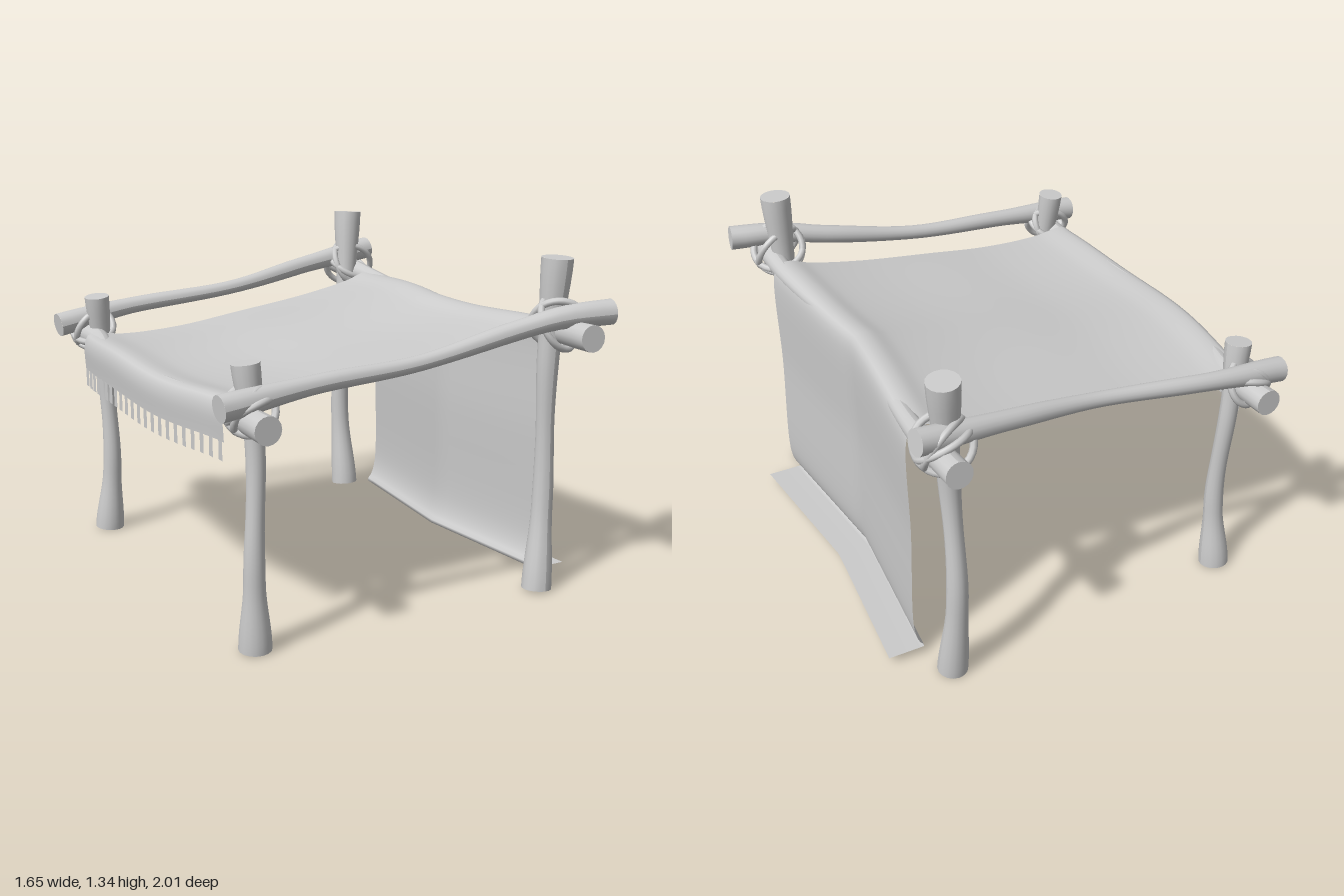
import * as THREE from 'three';
import { mergeGeometries } from 'three/addons/utils/BufferGeometryUtils.js';

const mat = new THREE.MeshStandardMaterial({ color: 0xcccccc });
const clothMat = new THREE.MeshStandardMaterial({ color: 0xcccccc, side: THREE.DoubleSide });
const v = (p) => new THREE.Vector3(...p);

// Tapering branch along a curve: radii are spread evenly along its length, flat cut ends
function branch(name, points, radii, sides = 16, steps = 28) {
  const curve = new THREE.CatmullRomCurve3(points.map(v));
  const radiusAt = (u) => {
    const f = u * (radii.length - 1), i = Math.min(Math.floor(f), radii.length - 2);
    return THREE.MathUtils.lerp(radii[i], radii[i + 1], THREE.MathUtils.smoothstep(f - i, 0, 1));
  };
  const tube = new THREE.TubeGeometry(curve, steps, 1, sides);
  const pos = tube.attributes.position, p = new THREE.Vector3();
  for (let k = 0; k < pos.count; k++) {
    const u = Math.floor(k / (sides + 1)) / steps;
    const c = curve.getPointAt(u);
    p.fromBufferAttribute(pos, k).sub(c).multiplyScalar(radiusAt(u)).add(c);
    pos.setXYZ(k, p.x, p.y, p.z);
  }
  tube.computeVertexNormals();
  const caps = [0, 1].map((u) => {
    const dir = curve.getTangentAt(u).multiplyScalar(u ? 1 : -1);
    const q = new THREE.Quaternion().setFromUnitVectors(new THREE.Vector3(0, 0, 1), dir);
    const c = curve.getPointAt(u);
    return new THREE.CircleGeometry(radiusAt(u), sides).applyQuaternion(q).translate(c.x, c.y, c.z);
  });
  const mesh = new THREE.Mesh(mergeGeometries([tube, ...caps]), mat);
  mesh.name = name;
  return mesh;
}

// Sideways bow of the cloth where it follows the two bent poles
const bowLeft = (z) => 0.065 * Math.cos(THREE.MathUtils.clamp((z + 0.08) / 0.75, -1, 1) * Math.PI / 2);
const bowRight = (z) => 0.065 * Math.max(0, 1 - Math.abs(z) / 0.68);

// Cloth cross-section: hem, over the low pole, across, over the high pole, down to the floor flap
const profile = new THREE.CatmullRomCurve3([
  [-0.72, 0.755], [-0.722, 0.86], [-0.705, 0.9], [-0.67, 0.907], [-0.55, 0.892], [-0.3, 0.9],
  [0, 0.94], [0.33, 0.988], [0.55, 1.035], [0.64, 1.066], [0.69, 1.06], [0.71, 1.02],
  [0.708, 0.6], [0.71, 0.13], [0.69, 0.06], [0.668, 0.032], [0.7, 0.03], [0.82, 0.03],
].map(([x, y]) => new THREE.Vector3(x, y, 0)), false, 'centripetal');

function clothPoint(u, w) {
  const p = profile.getPointAt(u);
  const right = THREE.MathUtils.clamp((p.x + 0.7) / 1.38, 0, 1);
  const z = THREE.MathUtils.lerp(-0.665, 0.7 - 0.03 * right, w);
  const shift = THREE.MathUtils.lerp(bowLeft(z), bowRight(z), right);
  const wave = 0.008 * Math.sin(z * 7) * THREE.MathUtils.smoothstep(p.y, 0.3, 0.9);
  return p.set(p.x - shift, p.y - wave, z);
}

function cloth() {
  const nu = 150, nw = 24;
  const geo = new THREE.PlaneGeometry(1, 1, nu, nw);
  const pos = geo.attributes.position;
  for (let k = 0; k < pos.count; k++) {
    const p = clothPoint((k % (nu + 1)) / nu, Math.floor(k / (nu + 1)) / nw);
    pos.setXYZ(k, p.x, p.y, p.z);
  }
  geo.computeVertexNormals();
  const mesh = new THREE.Mesh(geo, clothMat);
  mesh.name = 'clothCanopy';
  return mesh;
}

// Row of flat strips along the hem
function fringe() {
  const group = new THREE.Group();
  group.name = 'fringe';
  const count = 22;
  for (let i = 0; i < count; i++) {
    const p = clothPoint(0, (i + 0.5) / count);
    const strip = new THREE.Mesh(new THREE.PlaneGeometry(0.032, 0.075), clothMat);
    strip.name = 'fringeStrip';
    strip.rotation.y = -Math.PI / 2;
    strip.position.set(p.x, p.y - 0.0345, p.z);
    group.add(strip);
  }
  return group;
}

// Two crossed rope loops round a joint
function lashing(x, y, z, size) {
  const group = new THREE.Group();
  group.name = 'ropeLashing';
  const sx = Math.sign(x), sz = Math.sign(z);
  for (const n of [[0.35 * sx, 0.45, 0.82 * sz], [-0.5 * sx, -0.45, 0.75 * sz], [0.3 * sx, 0.85, -0.45 * sz]]) {
    const loop = new THREE.Mesh(new THREE.TorusGeometry(size, 0.014, 8, 32), mat);
    loop.name = 'ropeLoop';
    loop.quaternion.setFromUnitVectors(new THREE.Vector3(0, 0, 1), v(n).normalize());
    group.add(loop);
  }
  group.position.set(x, y, z);
  return group;
}

export function createModel() {
  const model = new THREE.Group();
  model.name = 'canopyShelter';

  // Posts, tall on the left and short on the right
  const tall = [0.06, 0.042, 0.036, 0.044, 0.062], short = [0.062, 0.04, 0.034, 0.036, 0.052];
  model.add(
    branch('frontLeftPost', [[0.6, 0, 0.785], [0.63, 0.4, 0.762], [0.625, 0.9, 0.765], [0.64, 1.325, 0.78]], tall),
    branch('backLeftPost', [[0.61, 0, -0.79], [0.6, 0.4, -0.825], [0.605, 0.9, -0.785], [0.635, 1.325, -0.82]], tall),
    branch('frontRightPost', [[-0.645, 0, 0.78], [-0.655, 0.35, 0.8], [-0.64, 0.75, 0.785], [-0.665, 1.055, 0.765]], short),
    branch('backRightPost', [[-0.64, 0, -0.72], [-0.625, 0.35, -0.7], [-0.64, 0.75, -0.72], [-0.67, 1.05, -0.7]], short),
  );

  // Cross bars at front and back
  const bar = [0.05, 0.035, 0.03, 0.038, 0.05];
  model.add(
    branch('frontBar', [[-0.8, 0.925, 0.84], [-0.4, 0.965, 0.82], [0, 0.992, 0.822], [0.4, 1.07, 0.835], [0.6, 1.11, 0.865], [0.815, 1.12, 0.895]], bar),
    branch('backBar', [[-0.82, 0.925, -0.775], [-0.5, 0.975, -0.795], [0, 1.025, -0.765], [0.4, 1.09, -0.815], [0.76, 1.14, -0.86]], bar),
  );

  // Side poles carrying the cloth
  const pole = [0.052, 0.036, 0.03, 0.036, 0.052];
  model.add(
    branch('leftPole', [[0.65, 1.05, 1], [0.668, 1.035, 0.66], [0.612, 1.02, 0], [0.668, 1.035, -0.66], [0.665, 1.065, -1]], pole),
    branch('rightPole', [[-0.68, 0.865, 0.97], [-0.685, 0.866, 0.66], [-0.748, 0.868, 0], [-0.73, 0.868, -0.4], [-0.68, 0.87, -0.66], [-0.685, 0.88, -0.9]], pole),
  );

  model.add(cloth(), fringe());
  model.add(
    lashing(0.64, 1.075, 0.8, 0.105), lashing(0.64, 1.075, -0.82, 0.105),
    lashing(-0.665, 0.895, 0.8, 0.088), lashing(-0.67, 0.9, -0.76, 0.088),
  );
  return model;
}
